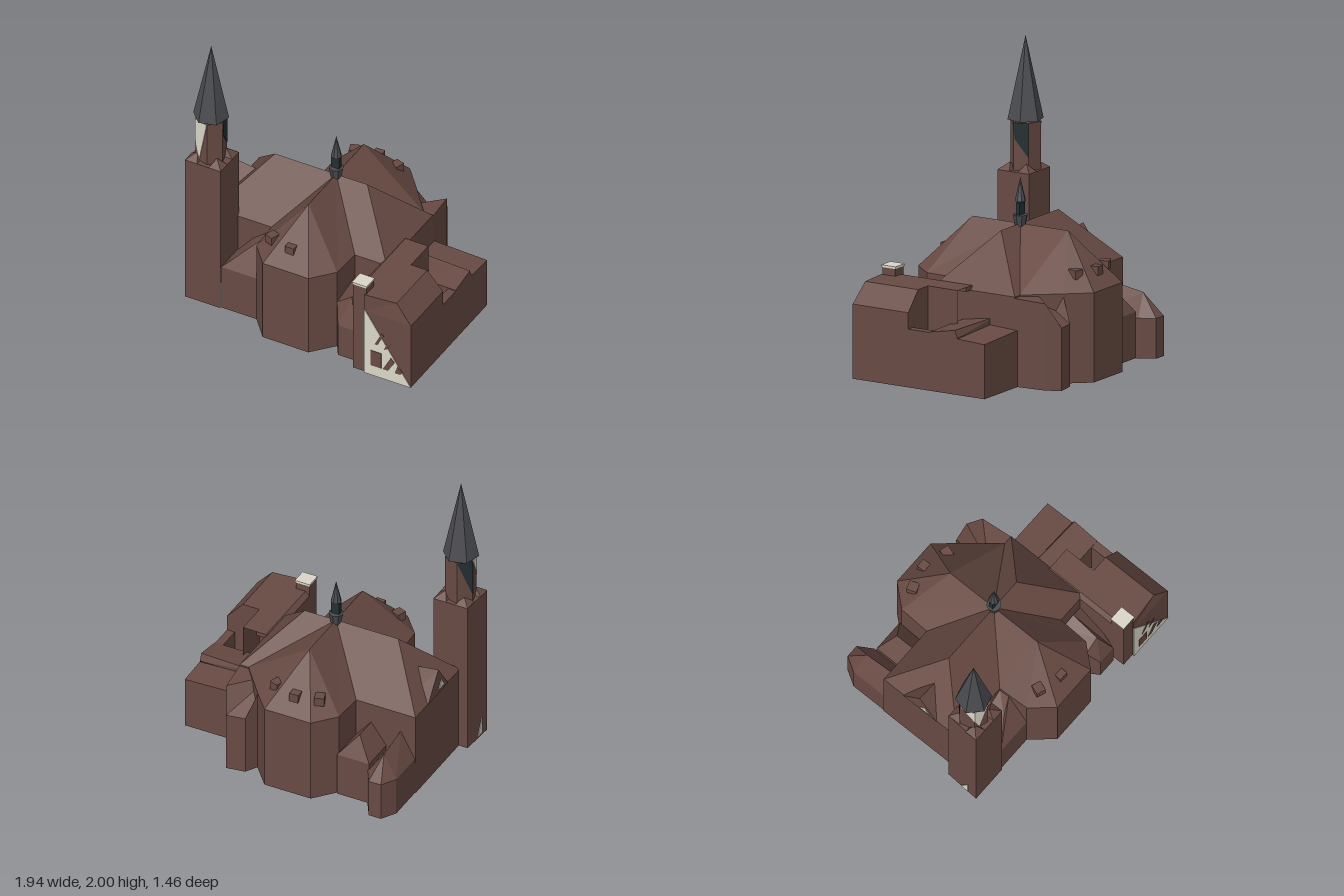
import * as THREE from 'three';

const paint = (name, color) => {
  const m = new THREE.MeshStandardMaterial({ color, flatShading: true, side: THREE.DoubleSide });
  m.name = name;
  return m;
};

export function createModel() {
  const brick = paint('brown brick', 0x684a43);
  const slate = paint('grey slate', 0x4b4c50);
  const cream = paint('cream plaster', 0xdad6c8);
  const dark = paint('dark louvre', 0x243033);
  const glass = paint('window grey', 0x56626a);

  const model = new THREE.Group();
  model.name = 'church';
  // The plan is turned a little against the axes
  const plan = new THREE.Group();
  plan.name = 'churchPlan';
  plan.position.x = -0.11;
  plan.rotation.y = 0.253;
  model.add(plan);

  const add = (name, geometry, material, x = 0, y = 0, z = 0) => {
    const mesh = new THREE.Mesh(geometry, material);
    mesh.name = name;
    mesh.position.set(x, y, z);
    plan.add(mesh);
    return mesh;
  };

  // Skin between rings of equal length (counterclockwise from above), closed at the top;
  // open lists the ground-level walls left out where rooms join
  const loft = (name, rings, open = [], cap = true) => {
    const p = [];
    const tri = (...v) => v.forEach((q) => p.push(...q));
    for (let r = 0; r + 1 < rings.length; r++) {
      const lo = rings[r], hi = rings[r + 1], n = lo.length;
      for (let i = 0; i < n; i++) {
        if (r === 0 && open.includes(i)) continue;
        const j = (i + 1) % n;
        tri(lo[i], lo[j], hi[j]);
        tri(lo[i], hi[j], hi[i]);
      }
    }
    const top = rings[rings.length - 1];
    if (cap) for (let i = 1; i + 1 < top.length; i++) tri(top[0], top[i], top[i + 1]);
    const g = new THREE.BufferGeometry();
    g.setAttribute('position', new THREE.Float32BufferAttribute(p, 3));
    g.computeVertexNormals();
    return add(name, g, brick);
  };
  const ring = (pts, y) => pts.map(([x, z]) => [x, y, z]);
  const rect = (x0, x1, z0, z1) => [[x0, z1], [x1, z1], [x1, z0], [x0, z0]];
  // Walls on a rectangle (south, east, north, west); roof gives four upper corners
  const house = (name, x0, x1, z0, z1, eave, open, roof) => {
    const base = rect(x0, x1, z0, z1);
    const rings = [ring(base, 0), ring(base, eave)];
    if (roof) rings.push(roof);
    return loft(name, rings, open);
  };
  const box = (name, w, h, d, x, y, z, m = brick) => add(name, new THREE.BoxGeometry(w, h, d), m, x, y, z);
  // Thin upright painted plate from flat points; turn faces it along another side
  const plate = (name, pts, material, x, y, z, turn = 0) => {
    const s = new THREE.Shape(pts.map(([a, b]) => new THREE.Vector2(a, b)));
    const m = add(name, new THREE.ExtrudeGeometry(s, { depth: 0.004, bevelEnabled: false }), material, x, y, z);
    m.rotation.y = turn;
    return m;
  };

  // Cross-shaped body: two polygonal apses, two hipped arms, ridges meeting in the middle.
  // The north-east valley runs out to the end of the arm.
  const E = 0.545, W = -0.745, H = 0.31;
  const southApse = [[-H, H], [-0.3, 0.53], [-0.17, 0.68], [0.17, 0.68], [0.3, 0.53]];
  const [, ...northApse] = southApse.map(([x, z]) => [-x, -z]);
  const outline = [...southApse, [H, H], [E, H], [E, -H], [0.48, -H], ...northApse, [-H, -H], [W, -H], [W, H]];
  const C = [0, 0.94, 0];
  const apseTop = (z) => [C, ...Array(4).fill([0, 0.94, z])];
  const eastTop = [0.23, 0.94, 0], westTop = [-0.455, 0.94, 0];
  const ridge = [...apseTop(0.37), C, eastTop, eastTop, ...apseTop(-0.37), C, westTop, westTop];
  // Low walls stay open toward the side rooms
  loft('bodyWalls', [ring(outline, 0), ring(outline, 0.24), ring(outline, 0.6)], [0, 4, 5, 7, 8, 12, 13, 15], false);
  loft('mainRoof', [ring(outline, 0.6), ridge], [], false);
  const gw = W - 0.005;
  loft('westGable', [[[gw, 0.6, 0.14], [-0.6, 0.6, 0.14], [-0.6, 0.6, -0.14], [gw, 0.6, -0.14]],
    [[gw, 0.79, 0], [-0.6, 0.77, 0], [-0.6, 0.77, 0], [gw, 0.79, 0]]]);

  // Small roof dormers
  for (const [x, z] of [[-0.167, -0.545], [-0.01, -0.58], [0.155, -0.53], [-0.18, 0.53], [-0.014, 0.57]]) {
    box('dormer', 0.065, 0.06, 0.07, x, 0.705, z).rotation.y = x * Math.sign(z) * 2;
  }

  // Ridge turret
  const cone = (name, rTop, rBottom, y0, y1, sides, m, x = 0, z = 0, start = 0) =>
    add(name, new THREE.CylinderGeometry(rTop, rBottom, y1 - y0, sides, 1, false, start), m, x, (y0 + y1) / 2, z);
  cone('turretBase', 0.05, 0.03, 0.9, 1.0, 8, slate);
  box('turretLantern', 0.06, 0.08, 0.03, 0, 1.04, 0, dark);
  cone('turretSpire', 0, 0.037, 1.09, 1.25, 8, slate);

  // Bell tower with small corner caps, a six-sided belfry and spire
  const tx = -0.7, tz = 0.414, r = 0.105, start = 0.236;
  const shaft = [[-0.825, 0.54], [-0.56, 0.54], [-0.56, 0.295], [-0.81, 0.295]];
  loft('towerShaft', [ring(shaft, 0), ring(shaft, 0.33), ring(shaft, 1.11)], [1]);
  for (const [x, z] of shaft) {
    const ix = x + Math.sign(tx - x) * 0.09, iz = z + Math.sign(tz - z) * 0.09;
    const base = rect(Math.min(x, ix), Math.max(x, ix), Math.min(z, iz), Math.max(z, iz));
    loft('towerCornerCap', [ring(base, 1.11), Array(4).fill([(x + ix * 2) / 3, 1.16, (z + iz * 2) / 3])]);
  }
  cone('belfry', r, r, 1.11, 1.43, 6, brick, tx, tz, start);
  const h = r / 2;
  const belfryFaces = [
    [0, cream, [[-h, 0.31], [-h, 0.14], [-h * 0.3, 0], [h, 0.31]]],
    [2, dark, [[-h, 0.31], [-h * 0.8, 0.2], [h, 0.08], [h, 0.31]]],
    [4, dark, [[-h, 0.31], [h, 0.04], [h, 0.31]]],
    [5, cream, [[-h, 0.31], [h, 0.14], [h, 0.31]]],
  ];
  for (const [side, material, pts] of belfryFaces) {
    const a = start + (side - 0.5) * Math.PI / 3, d = r * 0.866;
    plate('belfryPanel', pts, material, tx + Math.sin(a) * d, 1.12, tz + Math.cos(a) * d, a);
  }
  cone('towerSpire', 0, 0.12, 1.44, 2.0, 6, slate, tx, tz, -0.253);

  // Side rooms filling the west corners
  const ridgeX = (x, y, z0, z1) => [[x, y, z1], [x, y, z1], [x, y, z0], [x, y, z0]];
  house('southWestRoom', -0.56, -0.3, 0.3, 0.53, 0.33, [1, 2, 3],
    [[-0.4, 0.46, 0.42], [-0.3, 0.58, 0.38], [-0.3, 0.58, 0.3], [-0.45, 0.46, 0.3]]);
  house('northWestRoom', -0.53, -0.295, -0.55, -0.3, 0.31, [0, 1], ridgeX(-0.42, 0.46, -0.47, -0.28));

  // Stair turrets in the east corners, joined to apse and arm
  const southStair = [[0.3, 0.53], [0.35, 0.61], [0.48, 0.61], [E, H], [H, H]];
  const stairFront = [0.41, 0.44, 0.53], stairBack = [0.42, 0.48, 0.32];
  const southEave = [0.36, 0.24, 0.24, 0.42, 0.42];
  loft('southEastStair', [ring(southStair, 0), southStair.map(([x, z], i) => [x, southEave[i], z]),
    [stairFront, stairFront, stairFront, stairBack, stairBack]], [3, 4]);
  const northStair = [[H, -H], [E, -H], [0.525, -0.535], [0.476, -0.63], [0.347, -0.61], [0.3, -0.53]];
  const northEave = [0.59, 0.59, 0.58, 0.42, 0.42, 0.58];
  loft('northEastStair', [ring(northStair, 0), northStair.map(([x, z], i) => [x, northEave[i], z])], [0, 5]);

  // Baptistery with a polygonal north end
  const bap = [[-0.74, -0.28], [-0.53, -0.28], [-0.53, -0.57], [-0.59, -0.67], [-0.68, -0.67], [-0.74, -0.57]];
  const peak = [-0.635, 0.42, -0.54], bapEnd = [-0.635, 0.46, -0.3];
  loft('baptistery', [ring(bap, 0), ring(bap, 0.27), [bapEnd, bapEnd, peak, peak, peak, peak]], [0]);

  // East annex around a small open court
  house('annexSouthWing', 0.59, 0.937, 0.26, 0.69, 0.5, [],
    [[0.59, 0.63, 0.69], [0.82, 0.63, 0.67], [0.82, 0.63, 0.26], [0.59, 0.63, 0.26]]);
  house('annexPassage', 0.5, 0.6, 0.03, 0.6, 0.6, [1, 2],
    [[0.53, 0.63, 0.6], [0.6, 0.63, 0.6], [0.6, 0.63, 0.03], [0.53, 0.63, 0.03]]);
  house('annexLink', 0.55, 0.7, 0.03, 0.26, 0.63, [0, 2, 3]);
  house('annexCourtWall', 0.88, 0.937, 0.05, 0.27, 0.39, [0, 2]);
  house('annexNorthWing', 0.5, 0.937, -0.33, -0.12, 0.36, [0, 3],
    [[0.5, 0.39, -0.12], [0.937, 0.375, -0.12], [0.937, 0.365, -0.33], [0.5, 0.38, -0.33]]);
  house('annexMiddleWing', 0.5, 0.937, -0.12, 0.09, 0.38, [2, 3],
    [[0.5, 0.4, 0.09], [0.937, 0.395, 0.09], [0.937, 0.43, -0.1], [0.5, 0.43, -0.12]]);

  // Plastered part of the annex front with brick patches
  plate('annexPlaster', [[0, 0], [0.347, 0], [0, 0.52]], cream, 0.59, 0, 0.69);
  const patches = [
    [[0.05, 0.08], [0.13, 0.08], [0.13, 0.2], [0.05, 0.2]],
    [[0.14, 0.08], [0.18, 0.08], [0.23, 0.16], [0.2, 0.19]],
    [[0.08, 0.26], [0.1, 0.26], [0.15, 0.35], [0.13, 0.36]],
    [[0.15, 0.24], [0.17, 0.25], [0.2, 0.3], [0.17, 0.29]],
    [[0.23, 0.08], [0.27, 0.08], [0.29, 0.1], [0.25, 0.14]],
  ];
  for (const p of patches) plate('brickPatch', p, brick, 0.59, 0, 0.693);

  // Chimney
  box('chimney', 0.1, 0.68, 0.1, 0.55, 0.34, 0.63);
  box('chimneyCap', 0.11, 0.015, 0.11, 0.55, 0.6875, 0.63, cream);

  // West front: windows on the inner wall, light patches outside
  const lancet = [[-0.03, 0], [0.03, 0], [0.03, 0.14], [0, 0.18], [-0.03, 0.14]];
  for (const [y, z] of [[0.3, 0.22], [0.46, 0.05], [0.36, -0.13]]) {
    plate('westWindow', lancet, glass, W + 0.002, y, z, Math.PI / 2);
  }
  plate('gablePatch', [[-0.04, 0], [0.04, 0], [0, 0.06]], cream, gw, 0.63, 0.04, -Math.PI / 2);
  plate('towerPatch', [[-0.03, 0.02], [0.03, 0.02], [0.03, 0.14]], cream, -0.822, 0, 0.44, -Math.PI / 2);

  return model;
}
